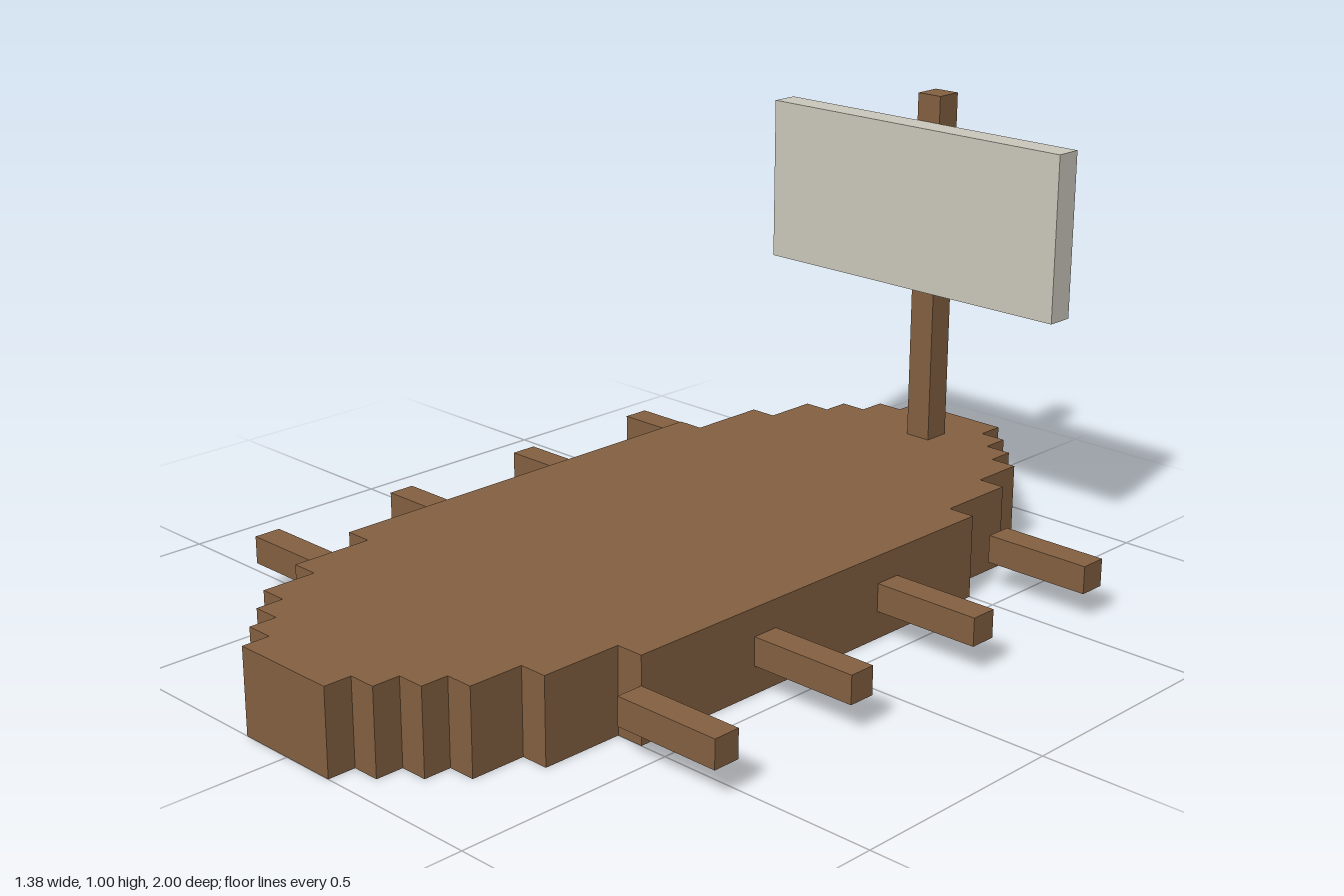
import * as THREE from 'three';

const U = 1 / 16; // block unit

export function createModel() {
  const model = new THREE.Group();
  model.name = 'blockBoat';

  const wood = new THREE.MeshStandardMaterial({ color: 0x825f40 });
  wood.name = 'brown wood';
  const cloth = new THREE.MeshStandardMaterial({ color: 0xc9c6ba });
  cloth.name = 'pale cloth';

  // Box from its minimum corner and size, both in block units
  function block(name, material, [x, y, z], [w, h, d], parent = model) {
    const mesh = new THREE.Mesh(new THREE.BoxGeometry(w * U, h * U, d * U), material);
    mesh.position.set((x + w / 2) * U, (y + h / 2) * U, (z + d / 2) * U);
    mesh.name = name;
    parent.add(mesh);
  }

  // Hull: stepped outline, [half width, half length] from the ends to the middle
  const steps = [[2, 16], [3, 15], [4, 14], [5, 13], [6, 11], [7, 8]];
  const quarter = [];
  steps.forEach(([w, l], i) => {
    if (i > 0) quarter.push([steps[i - 1][0], l]);
    quarter.push([w, l]);
  });
  const flipped = [...quarter].reverse();
  const outline = [
    ...flipped.map(([x, z]) => [x, z]),
    ...quarter.map(([x, z]) => [-x, z]),
    ...flipped.map(([x, z]) => [-x, -z]),
    ...quarter.map(([x, z]) => [x, -z]),
  ].map(([x, z]) => new THREE.Vector2(x * U, z * U));
  const hullGeometry = new THREE.ExtrudeGeometry(new THREE.Shape(outline), { depth: 3 * U, bevelEnabled: false });
  hullGeometry.rotateX(-Math.PI / 2);
  const hull = new THREE.Mesh(hullGeometry, wood);
  hull.name = 'hull';
  model.add(hull);

  // Four oars on each side
  const oars = new THREE.Group();
  oars.name = 'oars';
  model.add(oars);
  for (const z of [-10, -4, 2, 8]) {
    block('leftOar', wood, [7, 1, z], [4, 1, 1], oars);
    block('rightOar', wood, [-11, 1, z], [4, 1, 1], oars);
  }

  // Mast and sail, one block off centre
  block('mast', wood, [0, 3, -14], [1, 13, 1]);
  block('sail', cloth, [-6, 9, -13], [13, 6, 1]);

  return model;
}
